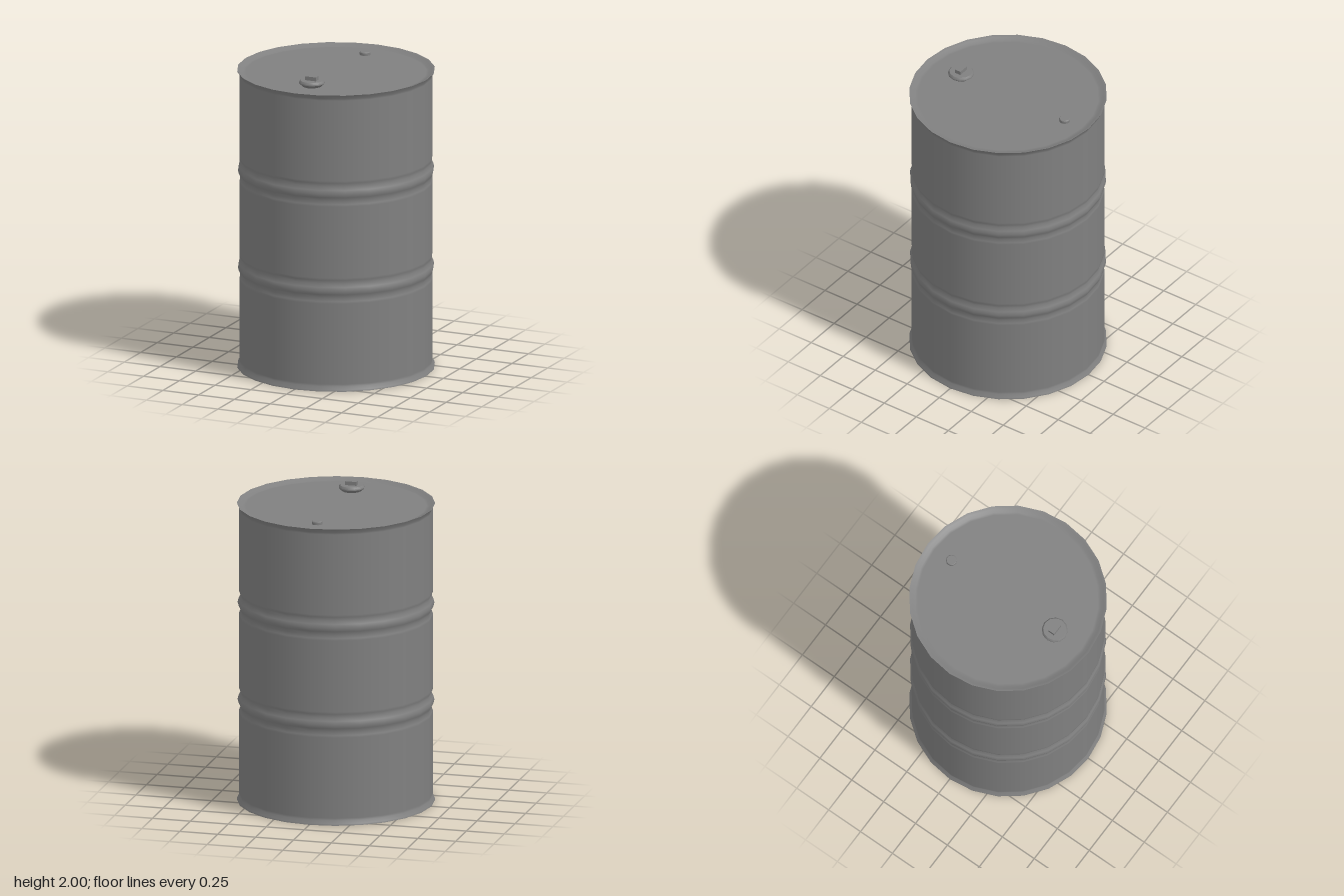
import * as THREE from 'three';
import { toCreasedNormals } from 'three/addons/utils/BufferGeometryUtils.js';

const material = new THREE.MeshStandardMaterial({ color: 0x808080 });

function addMesh(parent, name, geometry, x = 0, y = 0, z = 0) {
  const mesh = new THREE.Mesh(geometry, material);
  mesh.name = name;
  mesh.position.set(x, y, z);
  parent.add(mesh);
  return mesh;
}

// Revolve [radius, height] pairs with smooth normals
function revolve(profile, sides) {
  return new THREE.LatheGeometry(profile.map(([r, y]) => new THREE.Vector2(r, y)), sides);
}

// Rolling hoop: a soft bulge between two faint grooves
function hoop(y) {
  return [
    [0.615, y - 0.085], [0.615, y - 0.07], [0.607, y - 0.048], [0.619, y - 0.024], [0.625, y],
    [0.619, y + 0.024], [0.607, y + 0.048], [0.615, y + 0.07], [0.615, y + 0.085],
  ];
}

export function createModel() {
  const drum = new THREE.Group();
  drum.name = 'drum';
  const lidY = 1.935;

  addMesh(drum, 'base', revolve([[0, 0], [0.63, 0]], 24));

  // Wall with two hoops and flared rims
  addMesh(drum, 'wall', revolve([
    [0.63, 0], [0.628, 0.01], [0.615, 0.03], [0.615, 0.045],
    ...hoop(0.66), ...hoop(1.3),
    [0.615, 1.915], [0.615, 1.928], [0.63, 1.953],
  ], 24));

  // Lid, sunk a little below the rim and blended into it
  addMesh(drum, 'lid', revolve([
    [0.63, 1.953], [0.612, 1.948], [0.592, lidY], [0.575, lidY], [0, lidY],
  ], 24));

  // Large filler cap, undercut below its flange, with a grip block
  const cap = new THREE.Group();
  cap.name = 'fillerCap';
  cap.position.set(0, lidY, 0.367);
  drum.add(cap);
  addMesh(cap, 'capDisc', toCreasedNormals(revolve([
    [0.06, 0], [0.083, 0.02], [0.083, 0.028], [0.074, 0.04], [0, 0.04],
  ], 12), 0.65));
  addMesh(cap, 'capGrip', new THREE.BoxGeometry(0.075, 0.03, 0.043), 0, 0.05, 0);

  // Small vent plug
  addMesh(drum, 'ventPlug', toCreasedNormals(revolve([
    [0.035, 0], [0.035, 0.017], [0.031, 0.021], [0, 0.021],
  ], 12), 0.65), 0, lidY, -0.443);

  return drum;
}
